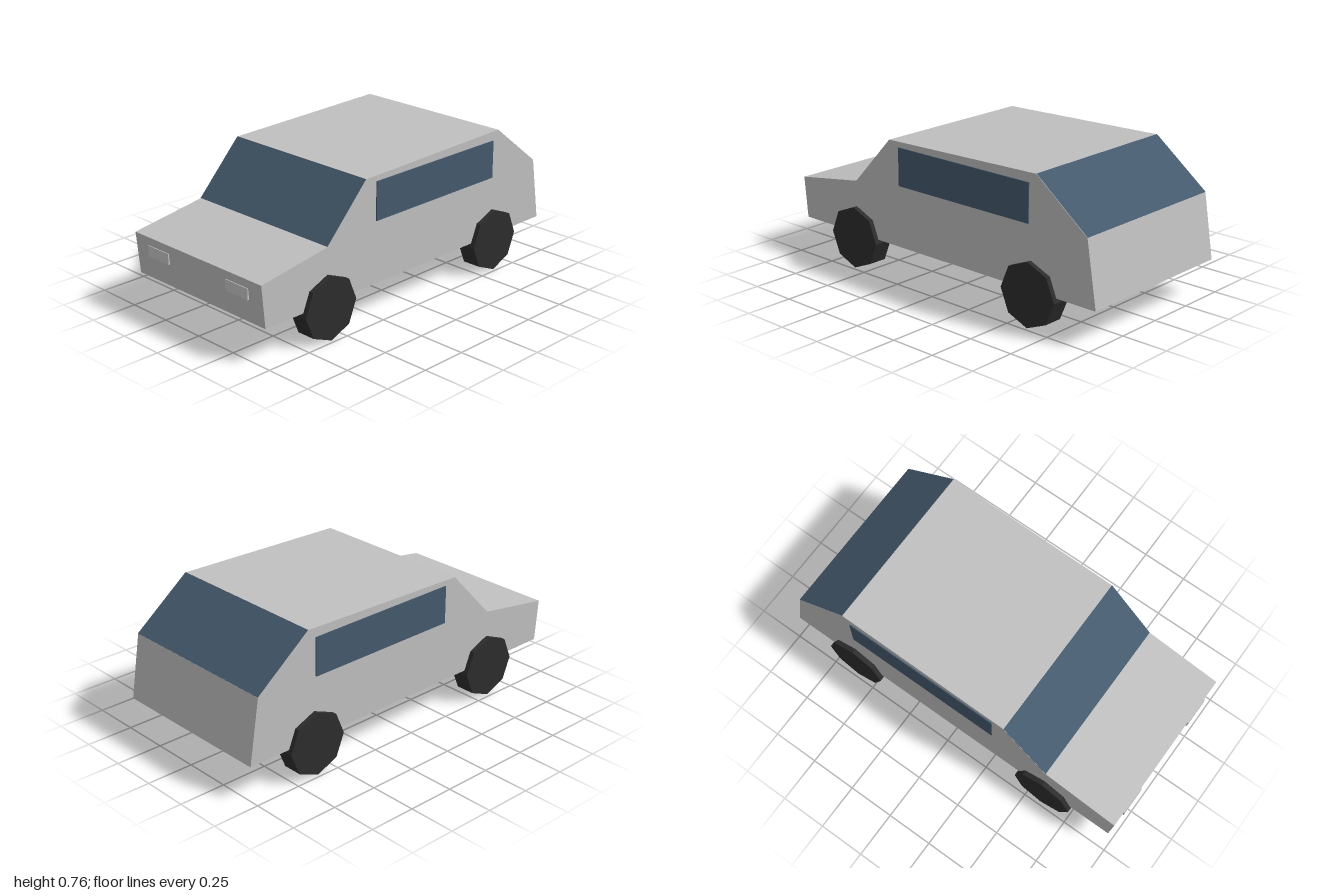
import * as THREE from 'three';

const material = (name, color, flatShading = false) => {
  const m = new THREE.MeshStandardMaterial({ color, flatShading });
  m.name = name;
  return m;
};

export function createModel() {
  const paint = material('silver paint', 0xc0c0c0);
  const glass = material('blue glass', 0x455a6d);
  const rubber = material('black rubber', 0x2d2d2d, true);
  const lamp = material('lamp grey', 0xc8c8c8);

  const car = new THREE.Group();
  car.name = 'car';
  const add = (name, geometry, mat, x = 0, y = 0, z = 0) => {
    const mesh = new THREE.Mesh(geometry, mat);
    mesh.name = name;
    mesh.position.set(x, y, z);
    car.add(mesh);
    return mesh;
  };

  // Side profile as (z, y), extruded across the width
  const width = 0.914;
  const profile = [
    [0.98, 0.185], [1, 0.406], [0.585, 0.47], [0.33, 0.738],
    [-0.64, 0.76], [-0.945, 0.523], [-1, 0.185],
  ].map(([z, y]) => new THREE.Vector2(z, y));
  const bodyGeometry = new THREE.ExtrudeGeometry(new THREE.Shape(profile), {
    depth: width, bevelEnabled: false,
  });
  bodyGeometry.translate(0, 0, -width / 2).rotateY(-Math.PI / 2);
  add('body', bodyGeometry, paint);

  // Full-width glass laid on the sloping faces, each running front to back
  const addGlass = (name, from, to) => {
    const d = to.clone().sub(from);
    const pane = add(name, new THREE.PlaneGeometry(width, d.length()), glass,
      0, (from.y + to.y) / 2, (from.x + to.x) / 2);
    pane.rotation.x = Math.atan2(d.x, d.y);
    pane.translateZ(0.002);
  };
  addGlass('windshield', profile[2], profile[3]);
  addGlass('rearWindow', profile[4], profile[5]);

  // Mirrored side windows, headlights and octagonal wheels
  const windowGeometry = new THREE.BoxGeometry(0.008, 0.2, 0.86);
  const lampGeometry = new THREE.BoxGeometry(0.155, 0.057, 0.03);
  const wheelGeometry = new THREE.CylinderGeometry(0.166, 0.166, 0.103, 8).rotateZ(Math.PI / 2);
  for (const [side, s] of [['left', 1], ['right', -1]]) {
    add(side + 'SideWindow', windowGeometry, glass, s * 0.459, 0.611, -0.168);
    add(side + 'Headlight', lampGeometry, lamp, s * 0.285, 0.333, 0.985);
    add(side + 'FrontWheel', wheelGeometry, rubber, s * 0.431, 0.166, 0.587);
    add(side + 'RearWheel', wheelGeometry, rubber, s * 0.431, 0.166, -0.61);
  }
  return car;
}
